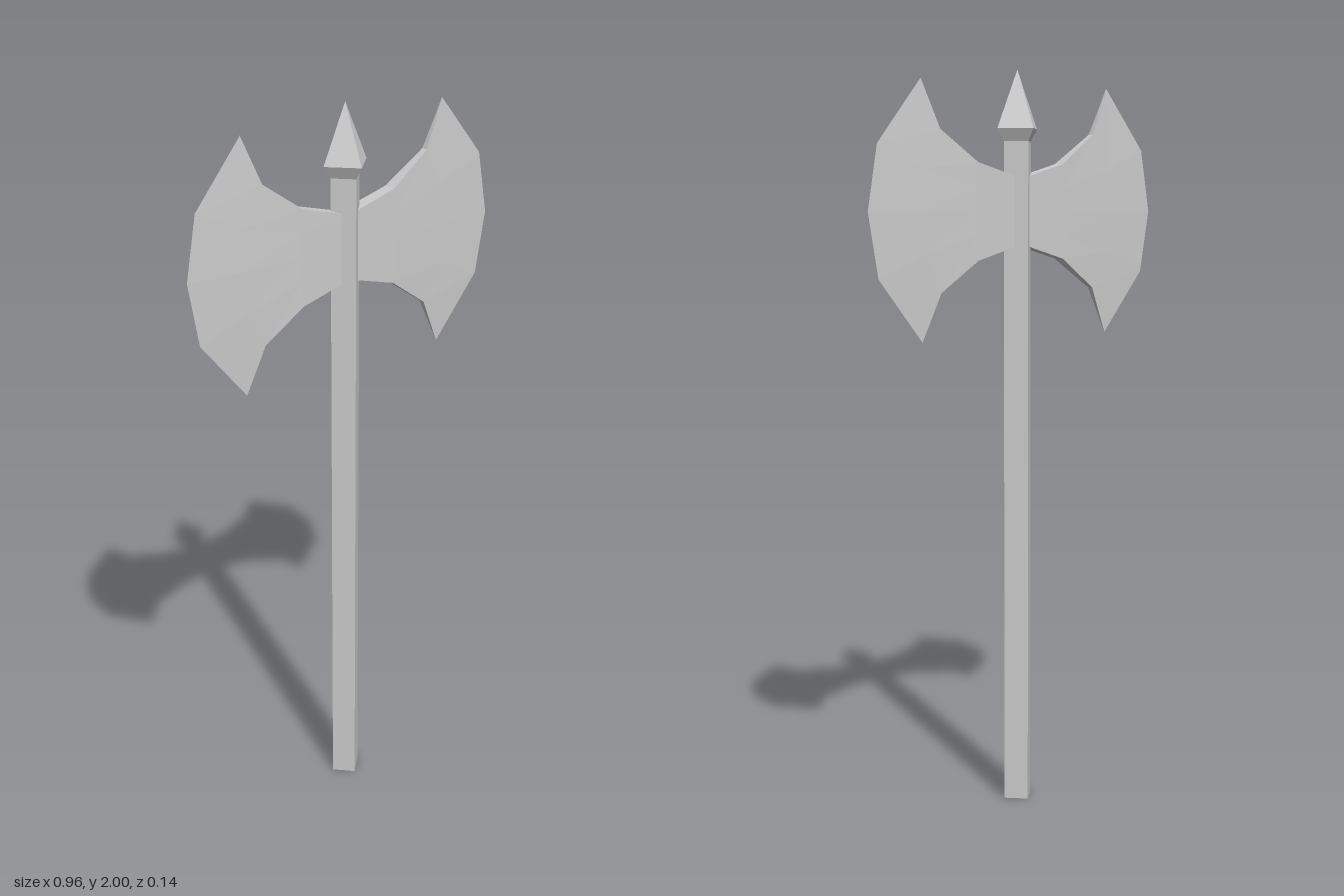
import * as THREE from 'three';

const material = new THREE.MeshStandardMaterial({ color: 0xcccccc, flatShading: true });
const MID_Y = 1.627;

function addMesh(parent, name, geometry) {
  const mesh = new THREE.Mesh(geometry, material);
  mesh.name = name;
  parent.add(mesh);
  return mesh;
}

// Four-sided solid with its corners on the x and z axes
function diamondColumn(profile) {
  return new THREE.LatheGeometry(profile.map(([r, y]) => new THREE.Vector2(r, y)), 4).toNonIndexed();
}

// Blade lofted outwards from the shaft to a sharp curved edge
function bladeGeometry() {
  // x and height at the middle, halfway and the corner, then half thickness
  const columns = [
    { x: [0, 0, 0], y: [0, 0.045, 0.087], z: 0.02 },
    { x: [0.155, 0.152, 0.145], y: [0, 0.065, 0.128], z: 0.018 },
    { x: [0.33, 0.31, 0.26], y: [0, 0.11, 0.21], z: 0.009 },
    { x: [0.48, 0.45, 0.315], y: [0, 0.17, 0.337], z: 0 },
  ];
  const rings = columns.map(({ x, y, z }) => {
    const front = [-2, -1, 0, 1, 2].map((k) => {
      const i = Math.abs(k);
      return [x[i], MID_Y + Math.sign(k) * y[i], z];
    });
    const back = front.map(([px, py, pz]) => [px, py, -pz]).reverse();
    return [...front, ...back];
  });
  const positions = [];
  const count = rings[0].length;
  for (let c = 0; c < rings.length - 1; c++) {
    for (let i = 0; i < count; i++) {
      const j = (i + 1) % count;
      const [a, b, d, e] = [rings[c][i], rings[c + 1][i], rings[c + 1][j], rings[c][j]];
      positions.push(...a, ...b, ...d);
      positions.push(...a, ...d, ...e);
    }
  }
  const geometry = new THREE.BufferGeometry();
  geometry.setAttribute('position', new THREE.Float32BufferAttribute(positions, 3));
  geometry.computeVertexNormals();
  return geometry;
}

export function createModel() {
  const model = new THREE.Group();
  model.name = 'doubleAxe';

  // Square shaft, closed at the bottom
  addMesh(model, 'shaft', diamondColumn([[0, 0], [0.046, 0], [0.046, 1.815]]));

  // Spike with a flared collar
  addMesh(model, 'spike', diamondColumn([[0, 1.812], [0.046, 1.812], [0.068, 1.845], [0, 2]]));

  // Matching blades on both sides
  const blade = bladeGeometry();
  addMesh(model, 'leftBlade', blade);
  addMesh(model, 'rightBlade', blade).rotation.y = Math.PI;

  return model;
}
